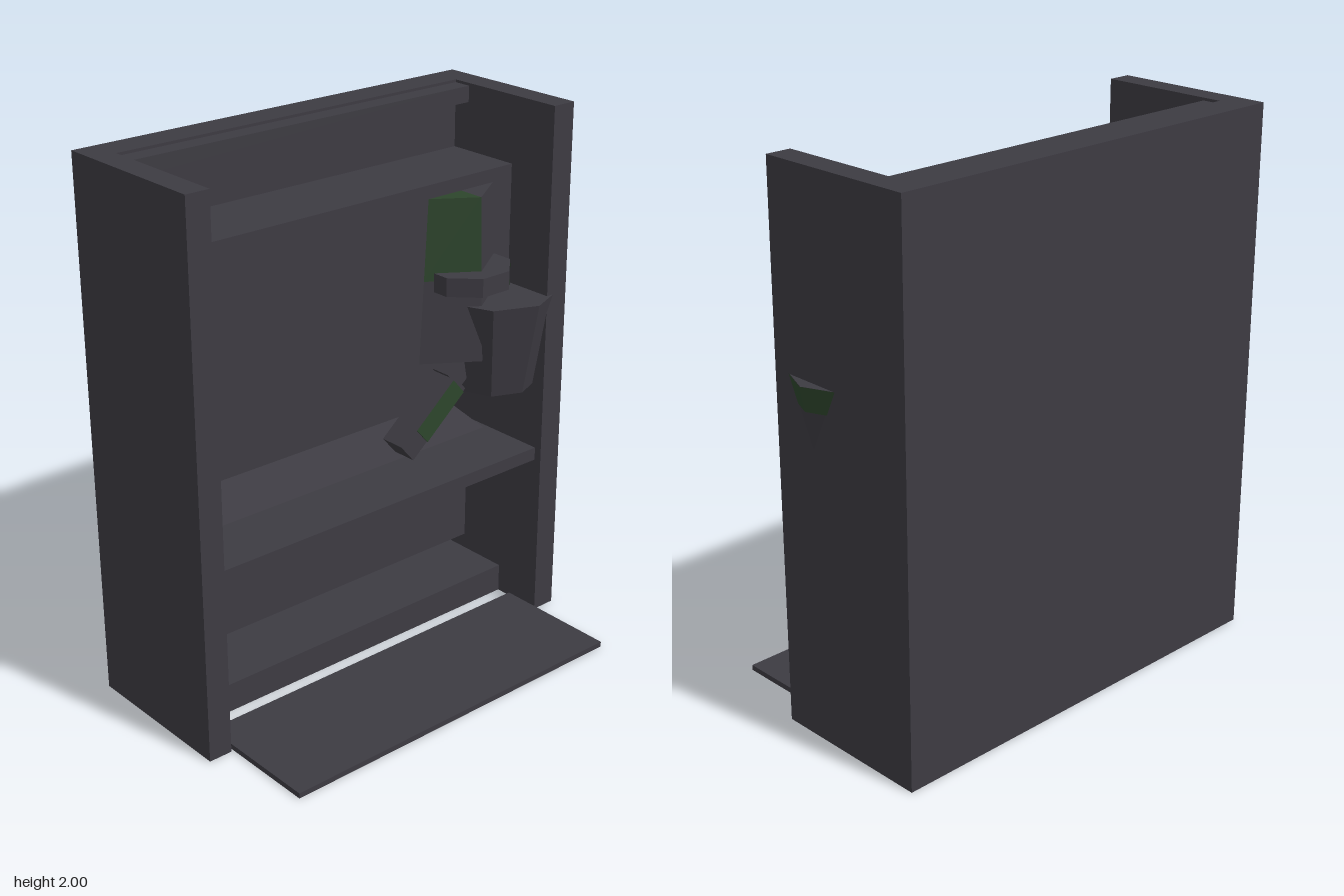
import * as THREE from 'three';

const grey = new THREE.MeshStandardMaterial({ color: 0x3d3b42, flatShading: true });
grey.name = 'charcoal';
const green = new THREE.MeshStandardMaterial({ color: 0x2d452c, flatShading: true, side: THREE.DoubleSide });
green.name = 'dark green';

export function createModel() {
  const model = new THREE.Group();
  model.name = 'cabinet';

  const add = (name, geometry, material = grey, parent = model) => {
    const mesh = new THREE.Mesh(geometry, material);
    mesh.name = name;
    parent.add(mesh);
    return mesh;
  };
  // Box given by its limits on each axis
  const box = (name, [x0, x1], [y0, y1], [z0, z1], material, parent) => {
    const mesh = add(name, new THREE.BoxGeometry(x1 - x0, y1 - y0, z1 - z0), material, parent);
    mesh.position.set((x0 + x1) / 2, (y0 + y1) / 2, (z0 + z1) / 2);
    return mesh;
  };

  // Cabinet shell
  const inner = [-0.76, 0.71];
  box('rightWall', [-0.85, -0.76], [0, 2], [-0.49, 0.13]);
  box('leftWall', [0.71, 0.805], [0, 2], [-0.49, 0.13]);
  box('backWall', inner, [0, 2], [-0.49, -0.37]);

  // Fittings between the walls
  box('topRail', inner, [1.93, 1.99], [-0.37, -0.3]);
  box('upperCabinet', inner, [1.085, 1.75], [-0.37, -0.07]);
  box('backPanel', [-0.71, 0.665], [0.83, 0.975], [-0.37, -0.362]);
  box('shelf', inner, [0.635, 0.685], [-0.37, 0.1]);
  box('lowerPanel', inner, [0.17, 0.595], [-0.37, -0.27]);
  box('plinth', inner, [0, 0.11], [-0.37, -0.07]);
  box('floorPlate', [-0.75, 0.7], [0, 0.02], [0, 0.49]);

  // Sloped pad at the back of the shelf
  const wedge = new THREE.Shape([[0.16, 0], [0.37, 0], [0.37, 0.045]].map(p => new THREE.Vector2(...p)));
  const pad = add('shelfPad', new THREE.ExtrudeGeometry(wedge, { depth: 1.42, bevelEnabled: false }));
  pad.rotation.y = Math.PI / 2;
  pad.position.set(-0.73, 0.685, 0);

  // Tapered hanging cover: front facets, the upper right one green
  const cover = new THREE.Group();
  cover.name = 'hangingCover';
  cover.position.set(0.462, 0, -0.07);
  cover.scale.z = 0.66;
  model.add(cover);
  const coverRadius = y => 0.155 + (1.7 - y) * 0.058;
  const facet = (name, y0, y1, start, length, sides, material) => {
    const g = new THREE.CylinderGeometry(coverRadius(y1), coverRadius(y0), y1 - y0, sides, 1, false, start, length);
    add(name, g, material, cover).position.y = (y0 + y1) / 2;
  };
  facet('coverLower', 1.09, 1.4, -Math.PI / 2, Math.PI, 2, grey);
  facet('coverUpperLeft', 1.4, 1.7, 0, Math.PI / 2, 1, grey);
  facet('coverUpperRight', 1.4, 1.7, -Math.PI / 2, Math.PI / 2, 1, green);

  // Octagonal collar round the cover, with one green facet
  const collar = add('collar', new THREE.CylinderGeometry(0.168, 0.168, 0.07, 8));
  collar.rotation.y = Math.PI / 8;
  collar.position.set(0.475, 1.395, -0.05);
  const collarFacet = add('collarFacet', new THREE.CylinderGeometry(0.17, 0.17, 0.07, 1, 1, true, Math.PI / 8, Math.PI / 4), green);
  collarFacet.position.copy(collar.position);

  // Octagonal bucket that pokes through the left wall
  const bucket = add('bucket', new THREE.CylinderGeometry(0.23, 0.16, 0.36, 8));
  bucket.position.set(0.62, 1.12, -0.05);
  const rim = add('bucketRimPatch', new THREE.CylinderGeometry(0.232, 0.2145, 0.09, 2, 1, true, Math.PI / 4, Math.PI / 2), green);
  rim.position.set(0.62, 1.2555, -0.05);

  // Slanted handle with a green front patch
  const handle = new THREE.Group();
  handle.name = 'handle';
  handle.position.set(0.29, 0.895, -0.06);
  handle.rotation.z = 0.7;
  model.add(handle);
  box('handleBar', [-0.165, 0.165], [-0.045, 0.045], [-0.05, 0.05], grey, handle);
  box('handlePatch', [-0.08, 0.15], [-0.045, 0.03], [0.05, 0.055], green, handle);
  box('handleJoint', [0.15, 0.24], [-0.03, 0.06], [-0.04, 0.04], grey, handle);

  return model;
}
